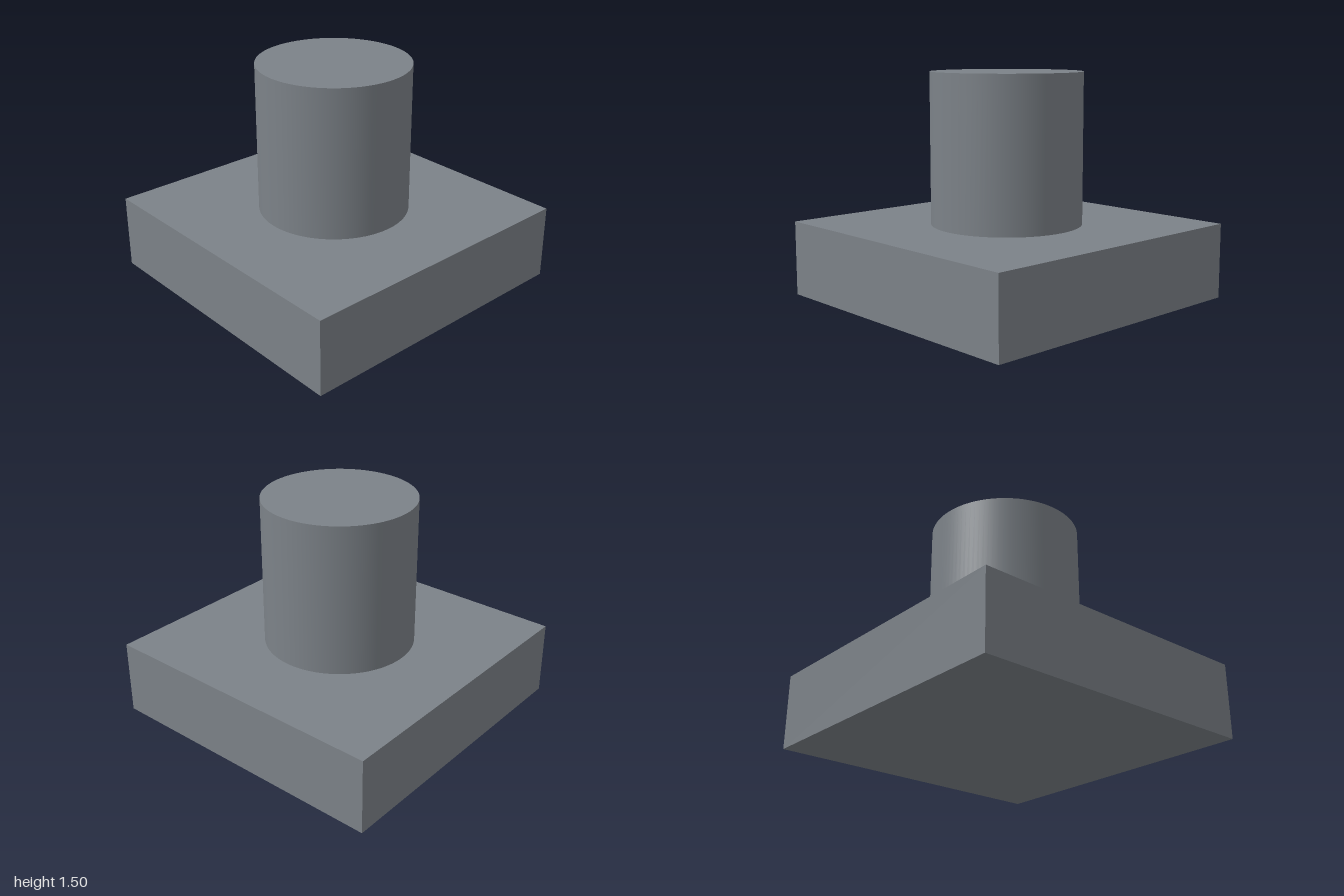
import * as THREE from 'three';

export function createModel() {
  const group = new THREE.Group();
  group.name = 'pedestal';
  const material = new THREE.MeshStandardMaterial({ color: 0x7c8288 });

  const add = (name, geometry, y) => {
    const mesh = new THREE.Mesh(geometry, material);
    mesh.name = name;
    mesh.position.y = y;
    group.add(mesh);
  };

  // Square slab standing on the ground
  add('base', new THREE.BoxGeometry(2, 0.5, 2), 0.25);

  // Round post centred on the slab
  add('post', new THREE.CylinderGeometry(0.5, 0.5, 1, 96), 1);

  return group;
}
